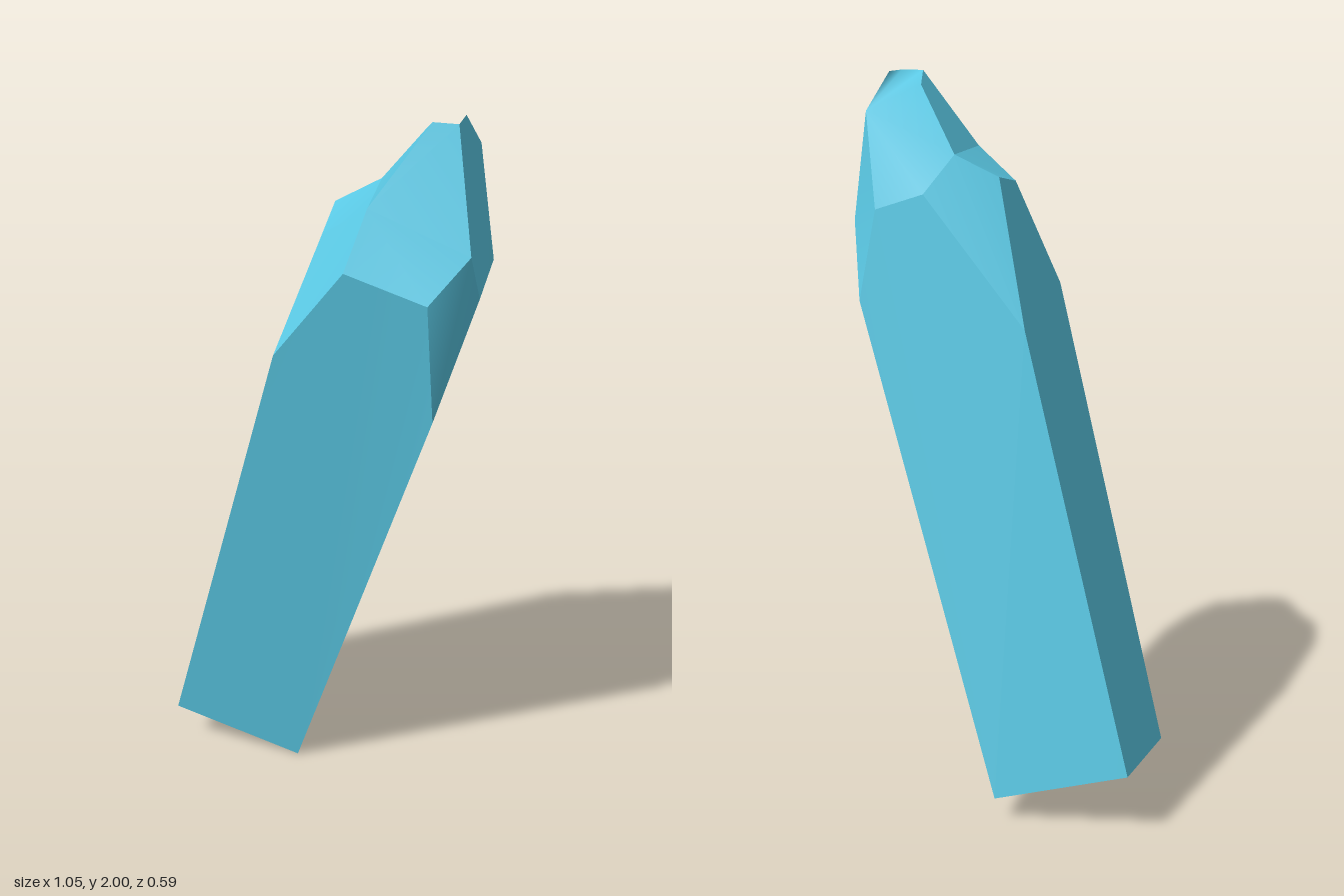
import * as THREE from 'three';
import { mergeGeometries } from 'three/addons/utils/BufferGeometryUtils.js';

// Corners of the crystal: four-sided leaning shaft, then the chipped tip
const corners = {
  // base
  a: [-0.523, 0.18, -0.09], b: [-0.36, 0.12, 0.26], c: [-0.03, 0, 0.085], d: [-0.195, 0.065, -0.265],
  // top ends of the shaft edges
  a2: [-0.15, 1.35, -0.10], b2: [0.08, 1.40, 0.295], c2: [0.445, 1.25, 0.10], d2: [0.285, 1.40, -0.295],
  // shoulder
  e: [0.27, 1.65, 0.248], p: [0.455, 1.58, 0.15], m: [0.523, 1.70, 0.07], r: [0.505, 1.57, 0],
  q: [0.408, 1.60, -0.198], s: [0.27, 1.645, -0.245], t: [0.15, 1.69, -0.18],
  // tip
  g: [0.13, 1.70, 0.16], h: [0.04, 1.73, 0], i: [0.13, 1.79, -0.08], f: [0.265, 1.79, 0.15],
  j: [0.31, 1.965, -0.03], k: [0.375, 2, 0.04], l: [0.435, 2, 0.015], n: [0.395, 2, -0.07], o: [0.36, 1.90, -0.19],
};

const baseFaces = ['a b c d'];
const shaftFaces = ['b a a2 h g b2', 'c c2 p e b2 b', 'c d d2 q r c2', 'd a a2 t s d2'];
const tipFaces = [
  'b2 e f g', 'c2 r m p', 'r q o n l m', 'q d2 s o', 'f e p m l k',
  'g f i h', 'f k j i', 'a2 h i t', 'o n l k j i t s',
];

const inside = new THREE.Vector3(0.17, 1.33, 0);

// One facet: a fan from its first corner, facing away from the inside point
function facet(face) {
  const pts = face.split(' ').map((name) => new THREE.Vector3(...corners[name]));
  const normal = new THREE.Vector3();
  const centre = new THREE.Vector3();
  pts.forEach((v, n) => {
    normal.add(v.clone().cross(pts[(n + 1) % pts.length]));
    centre.addScaledVector(v, 1 / pts.length);
  });
  const outward = normal.dot(centre.sub(inside)) > 0;
  const index = [];
  for (let n = 1; n < pts.length - 1; n++) index.push(0, ...(outward ? [n, n + 1] : [n + 1, n]));
  const geometry = new THREE.BufferGeometry().setFromPoints(pts);
  geometry.setIndex(index);
  geometry.computeVertexNormals(); // soft inside the facet, sharp between facets
  return geometry;
}

function makeMaterial(name, color) {
  const material = new THREE.MeshStandardMaterial({ color });
  material.name = name;
  return material;
}

export function createModel() {
  const group = new THREE.Group();
  group.name = 'crystal';
  const blue = makeMaterial('crystal blue', 0x5bcae6);
  const dark = makeMaterial('dark base blue', 0x2f7590);
  const parts = [
    ['crystalBase', baseFaces, dark],
    ['crystalShaft', shaftFaces, blue],
    ['crystalTip', tipFaces, blue],
  ];
  for (const [name, faces, material] of parts) {
    const mesh = new THREE.Mesh(mergeGeometries(faces.map(facet)), material);
    mesh.name = name;
    group.add(mesh);
  }
  return group;
}
